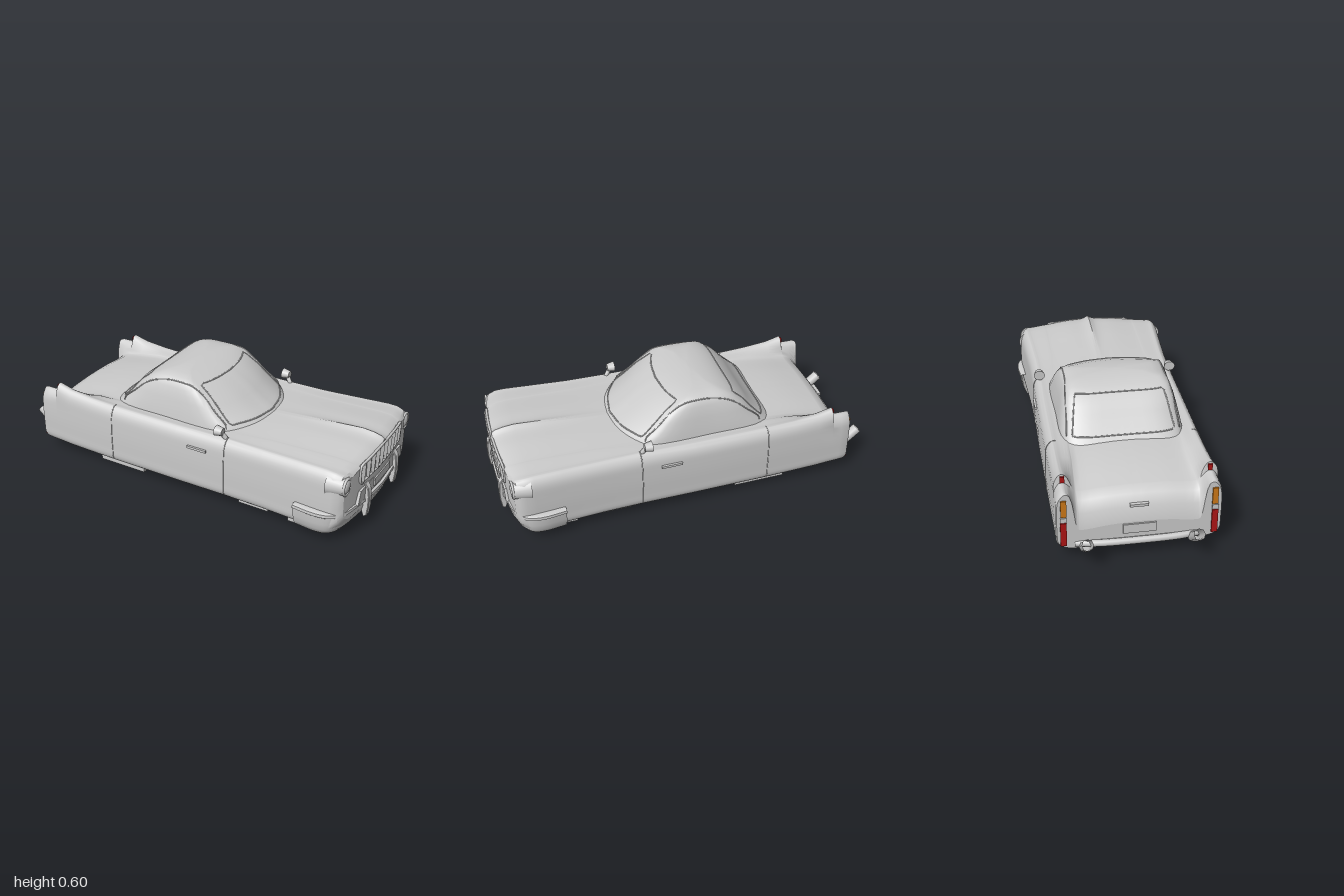
import * as THREE from 'three';
import { toCreasedNormals } from 'three/addons/utils/BufferGeometryUtils.js';

const mat = (color, side = THREE.FrontSide) => new THREE.MeshStandardMaterial({ color, side });
const grey = mat(0xcccccc), thin = mat(0xcccccc, THREE.DoubleSide);
const red = mat(0xb01515), amber = mat(0xd07a18), blue = mat(0x0d5c8c);
const V = (x, y, z) => new THREE.Vector3(x, y, z);
const spline = (pts, closed = false) => new THREE.CatmullRomCurve3(pts, closed);
const flat = pts => new THREE.Shape(pts.map(p => new THREE.Vector2(...p)));

// Surface through rows of points; faces point along rowDirection x columnDirection
function grid(rows, crease = 0.7) {
  const n = rows[0].length, idx = [];
  for (let i = 0; i < rows.length - 1; i++)
    for (let j = 0; j < n - 1; j++) {
      const a = i * n + j, b = a + n;
      idx.push(a, b, a + 1, b, b + 1, a + 1);
    }
  const g = new THREE.BufferGeometry().setFromPoints(rows.flat());
  g.setIndex(idx);
  return toCreasedNormals(g, crease);
}

// Nose bows forward at the middle
function bow(p) {
  const t = Math.max(0, (p.x - 0.6) / 0.33);
  p.x += 0.038 * Math.min(1, t * t) * (1 - (p.z / 0.42) ** 2);
  return p;
}
const noseX = z => 0.976 - 0.038 * (z / 0.42) ** 2;

// x, half width, sill y, fender top y, deck edge z, deck edge y, deck centre y
const stations = [
  [-0.86, 0.395, 0.068, 0.375, 0.285, 0.17, 0.19],
  [-0.845, 0.4, 0.06, 0.38, 0.287, 0.255, 0.268],
  [-0.81, 0.4, 0.057, 0.38, 0.29, 0.305, 0.317],
  [-0.765, 0.4, 0.055, 0.383, 0.29, 0.327, 0.34],
  [-0.76, 0.4, 0.055, 0.425, 0.29, 0.328, 0.341],
  [-0.68, 0.4, 0.05, 0.405, 0.285, 0.346, 0.36],
  [-0.55, 0.4, 0.047, 0.393, 0.28, 0.368, 0.38],
  [-0.395, 0.4, 0.045, 0.387, 0.28, 0.38, 0.388],
  [0, 0.4, 0.045, 0.385, 0.28, 0.383, 0.388],
  [0.29, 0.397, 0.045, 0.388, 0.28, 0.388, 0.395],
  [0.5, 0.4, 0.045, 0.39, 0.26, 0.396, 0.41],
  [0.7, 0.41, 0.045, 0.396, 0.26, 0.403, 0.422],
  [0.84, 0.418, 0.048, 0.4, 0.26, 0.407, 0.428],
  [0.89, 0.42, 0.06, 0.397, 0.26, 0.403, 0.422],
  [0.925, 0.412, 0.1, 0.387, 0.25, 0.393, 0.412],
  [0.94, 0.388, 0.13, 0.365, 0.24, 0.378, 0.398],
];
// Half section from keel to centre line, with a sharp ridge growing along the hood
function halfSection([x, w, yb, yf, zi, yi, yc]) {
  const d = Math.max(0, Math.min(0.008, (yf - yi) * 0.3));
  const ridge = 0.017 * THREE.MathUtils.clamp((x - 0.42) / 0.4, 0, 1);
  return spline([
    [0, yb], [w * 0.6, yb], [w * 0.88, yb + 0.005], [w * 0.985, yb + 0.035], [w, yb + 0.1], [w, 0.28],
    [w - 0.008, yf - 0.035], [w - 0.036, yf], [w - 0.06, yf - d], [zi + 0.012, yi + d],
    [zi, yi], [zi * 0.5, yi + (yc - yi) * 0.7], [0.035, yc], [0, yc + ridge],
  ].map(([z, y]) => V(x, y, z))).getPoints(52);
}
const flip = p => V(p.x, p.y, -p.z);

// Cabin rings: y, rear x, front x, half width
const levels = [
  [0.37, -0.46, 0.4, 0.317], [0.4, -0.425, 0.37, 0.313], [0.45, -0.37, 0.29, 0.304], [0.52, -0.31, 0.195, 0.288],
  [0.57, -0.245, 0.105, 0.268], [0.592, -0.19, 0.04, 0.24], [0.604, -0.13, -0.03, 0.16], [0.608, -0.081, -0.079, 0.001],
];
function cabinHalf(y) {
  let i = 0;
  while (i < levels.length - 2 && levels[i + 1][0] < y) i++;
  const a = levels[i], t = (y - a[0]) / (levels[i + 1][0] - a[0]);
  const [, r, f, w] = a.map((v, k) => v + (levels[i + 1][k] - v) * t), s = (f - r) / 0.8;
  return spline([[r, 0], [r + 0.01 * s, 0.75], [r + 0.06 * s, 0.95], [(r + f) / 2 - 0.07 * s, 1],
    [f - 0.16 * s, 0.98], [f - 0.11 * s, 0.85], [f - 0.03 * s, 0.45], [f, 0]].map(([x, k]) => V(x, y, k * w)));
}

export function createModel() {
  const car = new THREE.Group();
  const add = (name, geo, m = grey, x = 0, y = 0, z = 0) => {
    const o = new THREE.Mesh(geo, m);
    o.name = name;
    o.position.set(x, y, z);
    car.add(o);
    return o;
  };
  const box = (name, x, y, z, sx, sy, sz, m) => add(name, new THREE.BoxGeometry(sx, sy, sz), m, x, y, z);
  const tube = (name, pts, r, closed = false, m = grey) =>
    add(name, new THREE.TubeGeometry(spline(pts, closed), 64, r, 8, closed), m);

  // Body shell with nose and tail faces
  const halves = stations.map(halfSection);
  add('body', grid(halves.map(h => [...h, ...h.slice(0, -1).reverse().map(flip)].map(p => bow(p.clone())))));
  add('noseFace', grid(halves.at(-1).map(p =>
    Array.from({ length: 25 }, (_, k) => bow(V(p.x, p.y, p.z * (k / 12 - 1)))))));
  const tail = [...halves[0], ...halves[0].slice(1, -1).reverse().map(flip)];
  add('tailFace', new THREE.ShapeGeometry(flat(tail.map(p => [p.z, p.y]))).rotateY(-Math.PI / 2), thin, -0.86);

  // Cabin with window surrounds
  const fine = levels.flatMap(([y], i) => i ? [(y + levels[i - 1][0]) / 2, y] : [y]);
  add('cabin', grid(fine.map(y => {
    const h = cabinHalf(y).getPoints(32);
    return [...h.map(flip), ...h.slice(0, -1).reverse()];
  })));
  const onCabin = (u, y, s) => cabinHalf(y).getPoint(u).multiply(V(1, 1, s));
  const endWindow = (name, corner, end, y0, y1) => {
    const pts = [];
    for (let k = 0; k <= 12; k++) pts.push([k / 6 - 1, y0]);
    for (let k = 1; k < 5; k++) pts.push([1, y0 + (y1 - y0) * k / 5]);
    for (let k = 12; k >= 0; k--) pts.push([k / 6 - 1, y1]);
    for (let k = 4; k > 0; k--) pts.push([-1, y0 + (y1 - y0) * k / 5]);
    tube(name, pts.map(([t, y]) => onCabin(end + (corner - end) * Math.abs(t), y, Math.sign(t) || 1)), 0.0035, true);
  };
  endWindow('windshieldFrame', 0.725, 1, 0.41, 0.572);
  endWindow('rearWindowFrame', 0.19, 0, 0.405, 0.562);

  // Grille with wedge teeth
  const arc = (z, y) => V(noseX(z) + 0.003, y, z);
  const zs = Array.from({ length: 11 }, (_, k) => -0.245 + k * 0.049);
  const top = z => 0.398 - 0.2 * z * z;
  tube('grilleFrame', [...zs.map(z => arc(z, 0.289)), ...zs.slice().reverse().map(z => arc(z, top(z)))], 0.007, true);
  for (let k = 0; k < 10; k++) {
    const z = -0.225 + k * 0.05, h = top(z) - 0.289;
    const tooth = new THREE.CylinderGeometry(0.029, 0.025, h, 4).toNonIndexed();
    tooth.computeVertexNormals();
    add('grilleTooth', tooth, grey, noseX(z) - 0.012, 0.289 + h / 2, z);
  }

  // Front valance panel and plate
  const valance = flat([[-0.28, 0.18], [0.28, 0.18], [0.255, 0.25], [-0.255, 0.25]]);
  add('frontValance', new THREE.ExtrudeGeometry(valance, { depth: 0.02, bevelEnabled: false }).rotateY(Math.PI / 2), grey, 0.957);
  box('frontPlate', 0.978, 0.215, 0, 0.012, 0.045, 0.19);

  // Wrap-around front bumper with a rounded, undercut skirt
  const side = [[0.7, 0.428], [0.82, 0.438], [0.89, 0.422], [0.935, 0.375], [0.962, 0.25], [0.976, 0.1]];
  const plan = spline([...side, [0.978, 0], ...side.map(([x, z]) => [x, -z]).reverse()].map(([x, z]) => V(x, 0, z)));
  const profile = [[-0.05, 0.186], [0, 0.19], [0.011, 0.184], [0.012, 0.168], [0.002, 0.16], [-0.001, 0.12],
    [-0.008, 0.085], [-0.02, 0.06], [-0.04, 0.043], [-0.09, 0.037]];
  add('frontBumper', grid(profile.map(([o, y]) => Array.from({ length: 61 }, (_, k) => {
    const p = plan.getPoint(k / 60), t = plan.getTangent(k / 60);
    const dip = y > 0.15 ? 0.018 * Math.max(0, 1 - Math.abs(p.z) / 0.3) : 0;
    return V(p.x - t.z * o * (y < 0.1 ? 1.7 : 1), y - dip, p.z + t.x * o);
  }))), thin);

  // Bumper guards
  const guard = flat([[0.95, 0.255], [0.972, 0.258], [0.987, 0.235], [0.994, 0.19], [0.994, 0.13], [0.988, 0.08],
    [0.975, 0.072], [0.965, 0.1], [0.968, 0.2]]);
  const guardGeo = new THREE.ExtrudeGeometry(guard, { depth: 0.032, bevelSize: 0.003, bevelThickness: 0.004, bevelSegments: 1 });

  for (const s of [1, -1]) {
    add('bumperGuard', guardGeo, grey, 0, 0, s * 0.177 - 0.016);

    // Headlight
    add('headlightHousing', new THREE.CylinderGeometry(0.044, 0.06, 0.09, 28).rotateZ(-Math.PI / 2), grey, 0.903, 0.332, s * 0.37);
    const rim = add('headlightRim', new THREE.TorusGeometry(0.039, 0.007, 8, 28).rotateY(Math.PI / 2), grey, 0.948, 0.332, s * 0.37);
    rim.scale.y = 1.08;
    add('headlightLens', new THREE.SphereGeometry(0.037, 24, 12), grey, 0.945, 0.332, s * 0.37).scale.x = 0.4;

    // Side window surround, door seams and handle
    tube('sideWindowFrame', [[0.26, 0.4], [0.28, 0.48], [0.32, 0.545], [0.4, 0.573], [0.48, 0.577], [0.57, 0.57],
      [0.64, 0.535], [0.66, 0.47], [0.66, 0.4]].map(([u, y]) => onCabin(u, y, s)), 0.0035, true);
    for (const i of [7, 9]) tube('doorSeam', halves[i].slice(12, 32).map(p => V(p.x, p.y, p.z * s)), 0.0025);
    box('doorHandle', 0.135, 0.305, s * 0.402, 0.11, 0.013, 0.014);

    // Door mirror
    tube('mirrorStem', [V(0.285, 0.375, s * 0.35), V(0.27, 0.4, s * 0.355), V(0.25, 0.425, s * 0.365)], 0.012);
    add('mirror', new THREE.CylinderGeometry(0.031, 0.022, 0.04, 10).rotateZ(Math.PI / 2), grey, 0.25, 0.426, s * 0.365).scale.y = 0.9;

    // Tail lights on the fins
    box('brakeLight', -0.861, 0.155, s * 0.365, 0.014, 0.13, 0.03, red);
    box('reverseLight', -0.861, 0.237, s * 0.365, 0.014, 0.026, 0.03);
    box('turnLight', -0.861, 0.3, s * 0.363, 0.014, 0.09, 0.028, amber);
    box('finLight', -0.764, 0.4, s * 0.356, 0.012, 0.032, 0.022, red);

    // Exhaust
    tube('exhaust', [V(-0.35, 0.046, s * 0.265), V(-0.7, 0.046, s * 0.265), V(-0.84, 0.062, s * 0.265),
      V(-0.91, 0.11, s * 0.265), V(-0.982, 0.17, s * 0.265)], 0.028, false, thin);

    // Chassis rails, feet and skid blocks
    box('chassisRail', 0.12, 0.035, s * 0.23, 1.1, 0.025, 0.035);
    box('frontFoot', 0.665, 0.026, s * 0.3, 0.07, 0.044, 0.07);
    box('sidePad', -0.38, 0.024, s * 0.3, 0.28, 0.032, 0.07);
    box('midPad', 0.425, 0.028, s * 0.3, 0.17, 0.036, 0.05);
    box('skidBlock', -0.145, 0.028, s * 0.175, 0.18, 0.036, 0.07);
  }

  // Trunk handle, rear plate and rear bumper bar
  box('trunkHandle', -0.843, 0.275, 0, 0.02, 0.014, 0.09);
  box('rearPlate', -0.862, 0.155, 0, 0.012, 0.05, 0.16);
  tube('rearBumper', [V(-0.85, 0.09, 0.31), V(-0.868, 0.09, 0.2), V(-0.873, 0.09, 0), V(-0.868, 0.09, -0.2), V(-0.85, 0.09, -0.31)], 0.018);

  // Underside cross members, drive pipe and twin lift rings
  for (const x of [-0.4, 0.17, 0.66]) box('crossMember', x, 0.033, 0, 0.05, 0.025, 0.48);
  tube('drivePipe', [V(0.34, 0.026, 0), V(0, 0.026, 0), V(-0.4, 0.026, 0)], 0.018);
  for (const x of [0.43, -0.145]) {
    add('liftRing', new THREE.TorusGeometry(0.108, 0.02, 10, 36).rotateX(Math.PI / 2), grey, x, 0.029);
    add('liftInnerRing', new THREE.TorusGeometry(0.08, 0.012, 8, 36).rotateX(Math.PI / 2), grey, x, 0.021);
    add('liftLens', new THREE.CylinderGeometry(0.07, 0.07, 0.03, 32), blue, x, 0.025);
  }
  return car;
}
